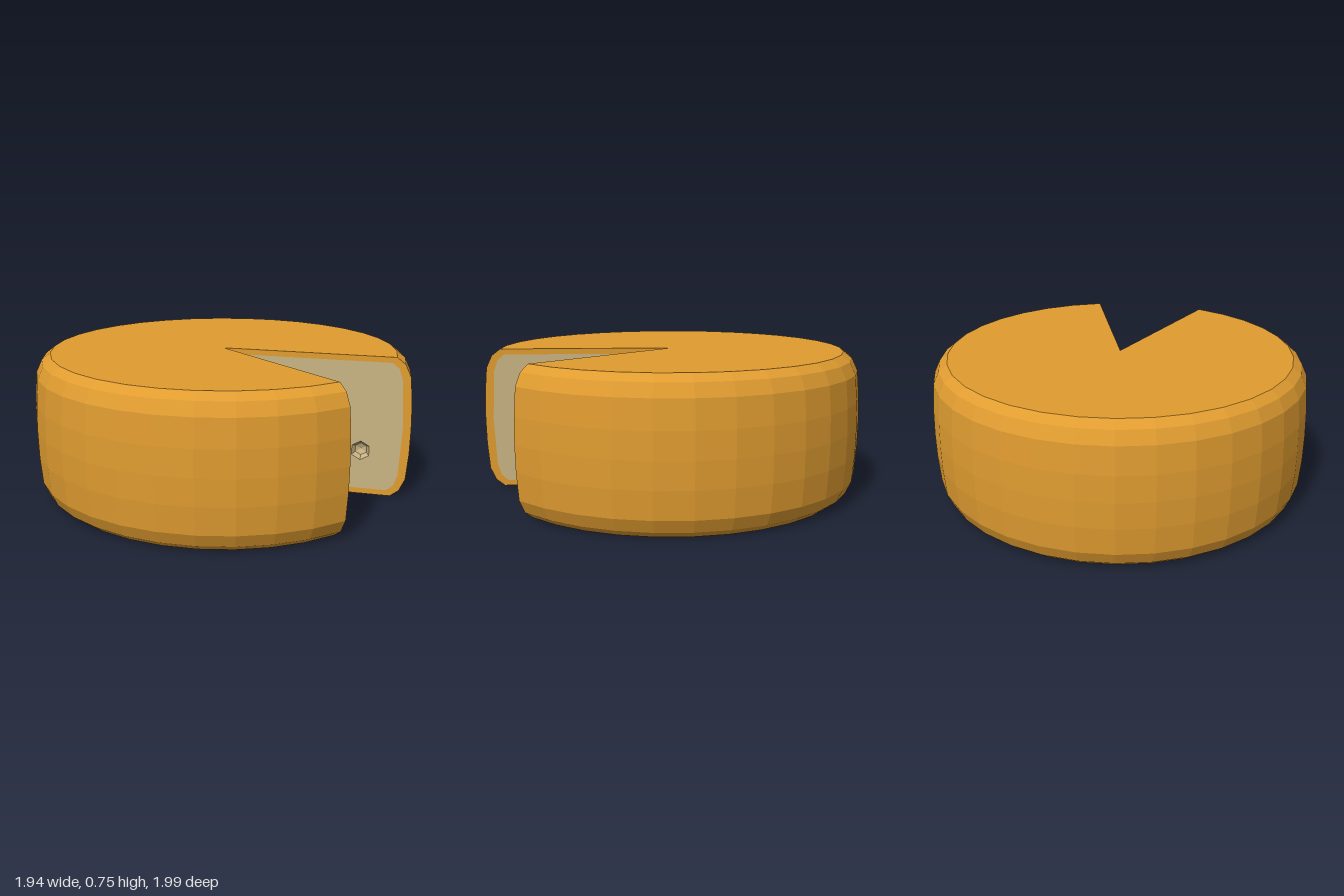
import * as THREE from 'three';

const rind = new THREE.MeshStandardMaterial({ color: 0xe09c30 });
rind.name = 'rindOrange';
const paste = new THREE.MeshStandardMaterial({ color: 0xc9b483 });
paste.name = 'pasteCream';

const WEDGE = THREE.MathUtils.degToRad(20); // half angle of the missing slice
const SIDES = 6;

// outer and inner outlines of the cut, as [radius, height]
const outer = [[0, 0], [0.91, 0], [0.955, 0.035], [0.985, 0.1], [0.997, 0.24], [1, 0.375],
  [0.997, 0.51], [0.985, 0.65], [0.955, 0.715], [0.91, 0.75], [0, 0.75]];
const inner = [[0, 0.03], [0.89, 0.03], [0.925, 0.06], [0.945, 0.12], [0.958, 0.375],
  [0.945, 0.63], [0.925, 0.69], [0.89, 0.72], [0, 0.72]];

// holes on each cut face, as [distance from the tip, height, radius]
const backHoles = [[0.4, 0.605, 0.045], [0.54, 0.5, 0.068], [0.26, 0.2, 0.057], [0.745, 0.24, 0.052]];
const frontHoles = [[0.78, 0.57, 0.046], [0.21, 0.59, 0.045], [0.34, 0.43, 0.065], [0.64, 0.2, 0.057]];

const vectors = (list, sx = 1) => list.map(([x, y]) => new THREE.Vector2(x * sx, y));

function faceted(geometry) {
  const flat = geometry.toNonIndexed();
  flat.computeVertexNormals();
  return flat;
}

function part(name, geometry, material) {
  const mesh = new THREE.Mesh(geometry, material);
  mesh.name = name;
  return mesh;
}

// one cut face: rind border, cream plate with openings and hollow dimples
function cutFace(name, holes, sx, angle) {
  const face = new THREE.Group();
  face.name = name;
  face.rotation.y = angle;

  const border = new THREE.Shape(vectors([...outer, ...[...inner].reverse()], sx));
  face.add(part('rindBorder', new THREE.ShapeGeometry(border), rind));

  const plate = new THREE.Shape(vectors(inner, sx));
  for (const [x, y, r] of holes) {
    const rim = [];
    for (let i = 0; i < SIDES; i++) {
      const a = (i / SIDES) * Math.PI * 2;
      rim.push(new THREE.Vector2(x * sx + r * Math.sin(a), y - r * Math.cos(a)));
    }
    plate.holes.push(new THREE.Path(rim));

    const bowl = new THREE.LatheGeometry(
      vectors([[r, 0], [r * 0.65, -r * 0.55], [0, -r * 0.8]]), SIDES);
    bowl.rotateX(Math.PI / 2);
    const dimple = part('cheeseHole', faceted(bowl), paste);
    dimple.position.set(x * sx, y, 0);
    face.add(dimple);
  }
  face.add(part('creamPlate', new THREE.ShapeGeometry(plate), paste));
  return face;
}

export function createModel() {
  const model = new THREE.Group();
  model.name = 'cheeseWheel';

  const wheel = new THREE.Group();
  wheel.name = 'wheel';
  wheel.position.x = 0.03;
  model.add(wheel);

  // rind with top and bottom, open towards +x
  const shell = new THREE.LatheGeometry(
    vectors(outer), 30, Math.PI / 2 + WEDGE, Math.PI * 2 - WEDGE * 2);
  wheel.add(part('rind', faceted(shell), rind));

  wheel.add(cutFace('backCut', backHoles, 1, WEDGE));
  wheel.add(cutFace('frontCut', frontHoles, -1, Math.PI - WEDGE));
  return model;
}
